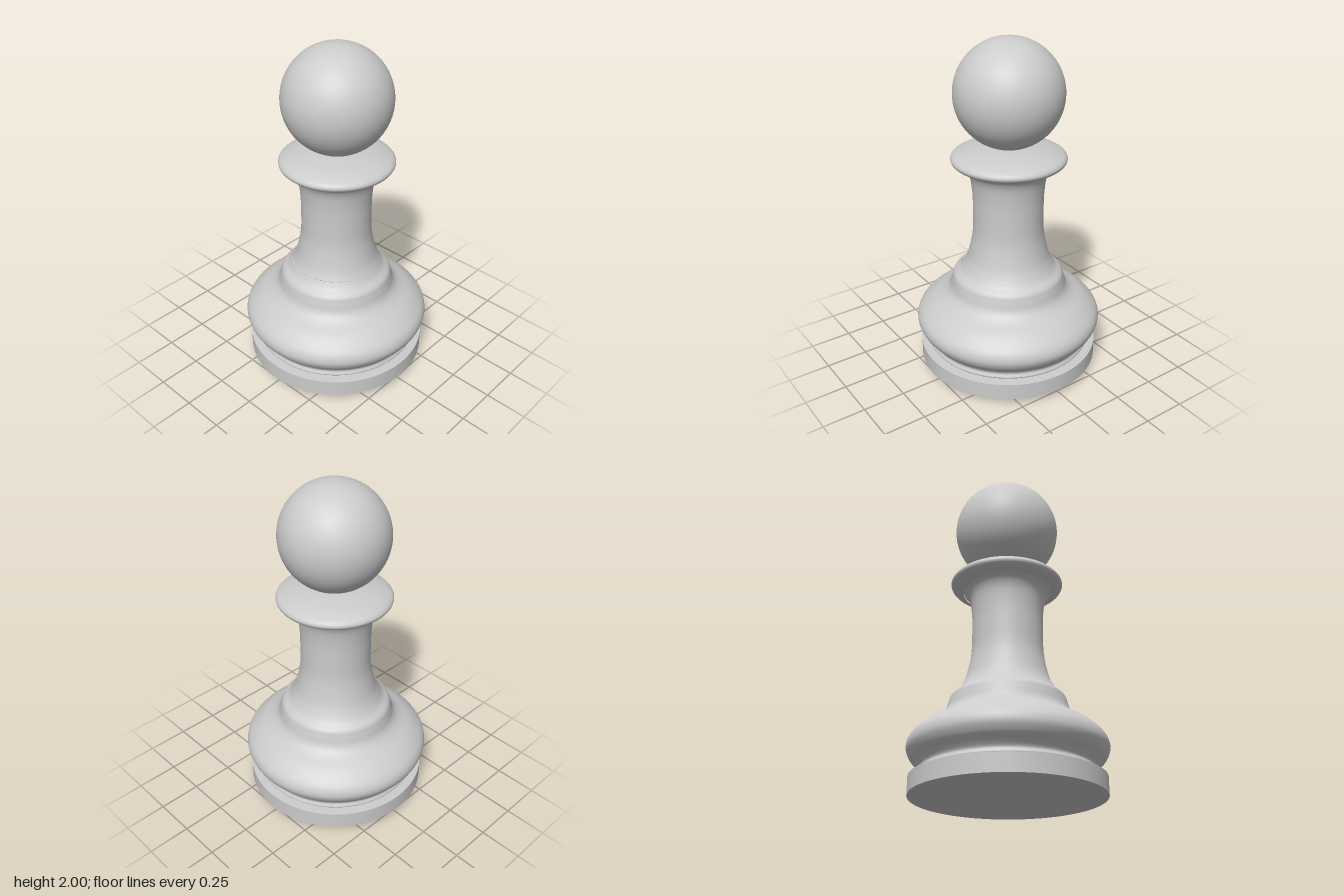
import * as THREE from 'three';

const SEGMENTS = 96;
const material = new THREE.MeshStandardMaterial({ color: 0xcccccc, roughness: 0.7 });

// Turned part from [radius, height] pairs listed bottom to top, optionally smoothed by a spline
function turned(name, pairs, smoothSteps = 0) {
  let points = pairs.map(([r, y]) => new THREE.Vector2(r, y));
  if (smoothSteps) {
    points = new THREE.SplineCurve(points).getPoints(smoothSteps);
    points.forEach((p) => { p.x = Math.max(p.x, 0); });
  }
  const mesh = new THREE.Mesh(new THREE.LatheGeometry(points, SEGMENTS), material);
  mesh.name = name;
  return mesh;
}

export function createModel() {
  const pawn = new THREE.Group();
  pawn.name = 'pawn';

  // Plinth: shallow conical underside, straight rim, flat ledge; separate lathes keep the edges sharp
  const plinth = new THREE.Group();
  plinth.name = 'plinth';
  plinth.add(
    turned('plinthUnderside', [[0, 0], [0.535, 0.04]]),
    turned('plinthRim', [[0.535, 0.04], [0.535, 0.14]]),
    turned('plinthLedge', [[0.535, 0.14], [0.46, 0.145]]),
  );
  pawn.add(plinth);

  // Bulging foot, rising over a groove to a small shoulder
  pawn.add(turned('foot', [
    [0.475, 0.14], [0.49, 0.155], [0.482, 0.18], [0.5, 0.21], [0.535, 0.25],
    [0.553, 0.3], [0.535, 0.355], [0.47, 0.415], [0.39, 0.46], [0.352, 0.5],
    [0.335, 0.555], [0.322, 0.592], [0.285, 0.625], [0.262, 0.66],
  ], 90));

  // Waisted stem, flaring at both ends
  const stem = turned('stem', [
    [0.262, 0.66], [0.24, 0.71], [0.218, 0.8], [0.207, 0.88], [0.205, 1.0],
    [0.207, 1.1], [0.217, 1.19], [0.235, 1.24], [0.26, 1.27],
  ], 50);
  stem.position.x = 0.003;
  pawn.add(stem);

  // Collar with rounded lip and domed top
  const collar = turned('collar', [
    [0.255, 1.265], [0.3, 1.285], [0.325, 1.303], [0.329, 1.325],
    [0.305, 1.347], [0.23, 1.373], [0.12, 1.392], [0, 1.396],
  ], 50);
  collar.position.x = 0.009;
  pawn.add(collar);

  // Ball head
  const head = new THREE.Mesh(new THREE.SphereGeometry(0.31, 64, 48), material);
  head.name = 'head';
  head.position.set(0.01, 1.69, 0);
  pawn.add(head);

  return pawn;
}
